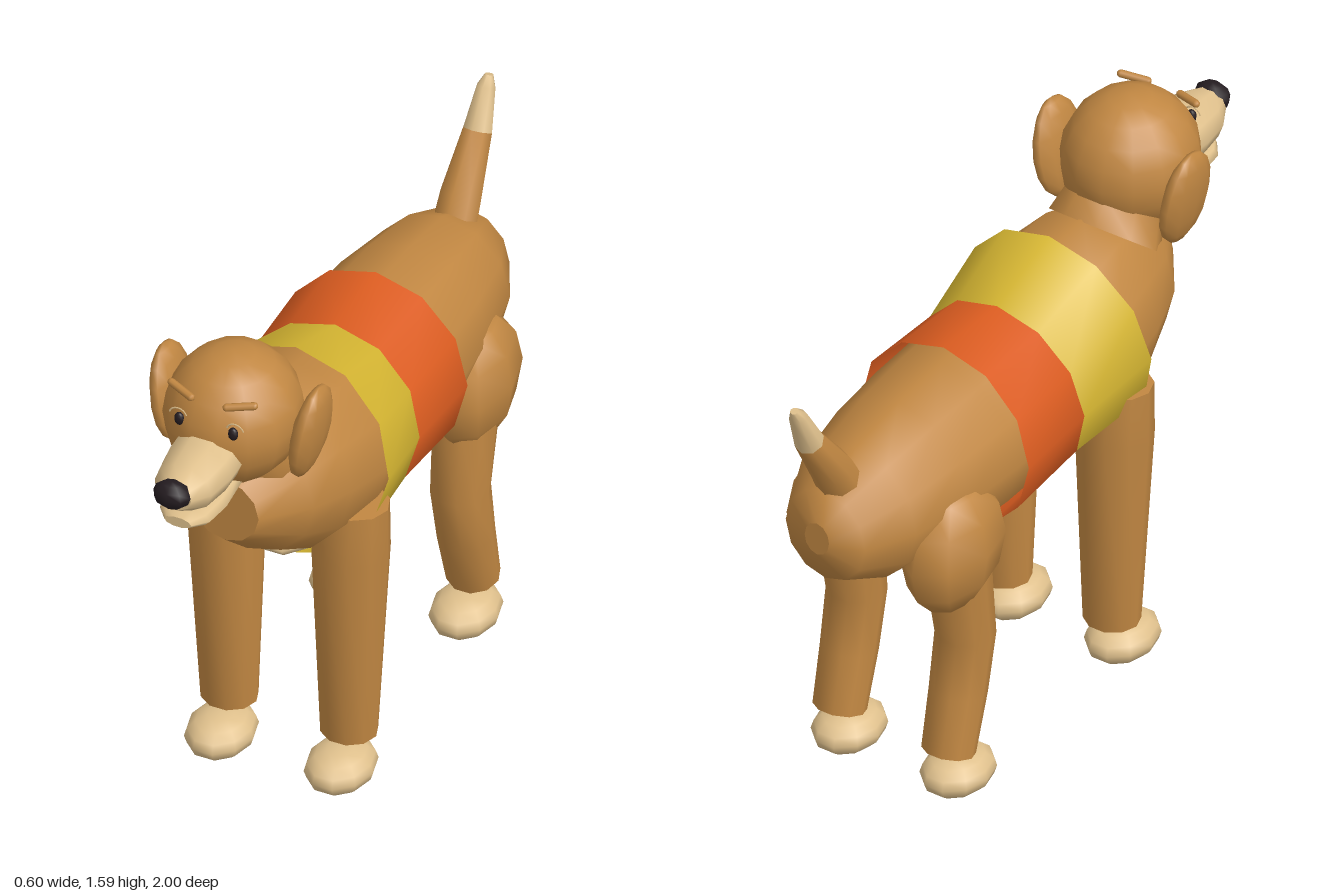
import * as THREE from 'three';

const mat = (name, color, extra = {}) => {
  const m = new THREE.MeshStandardMaterial({ color, ...extra });
  m.name = name;
  return m;
};

// Skin over elliptical rings [x, y, z, rx, vy, vz]: point = centre + rx cos(a) X + sin(a) (0, vy, vz).
// Rings run in the direction X cross (0, vy, vz).
function loft(rings, n, capped = true) {
  const pos = [], idx = [];
  const addRing = ([x, y, z, rx, vy, vz]) => {
    for (let j = 0; j < n; j++) {
      const a = (j / n) * Math.PI * 2, s = Math.sin(a);
      pos.push(x + rx * Math.cos(a), y + vy * s, z + vz * s);
    }
  };
  rings.forEach(addRing);
  for (let i = 0; i < rings.length - 1; i++) {
    for (let j = 0; j < n; j++) {
      const a = i * n + j, b = i * n + ((j + 1) % n);
      idx.push(a, b, a + n, b, b + n, a + n);
    }
  }
  if (capped) {
    [rings[0], rings[rings.length - 1]].forEach((r, end) => {
      const base = pos.length / 3;
      addRing(r);
      pos.push(r[0], r[1], r[2]);
      for (let j = 0; j < n; j++) {
        const a = base + j, b = base + ((j + 1) % n);
        idx.push(base + n, end ? a : b, end ? b : a);
      }
    });
  }
  const g = new THREE.BufferGeometry();
  g.setAttribute('position', new THREE.Float32BufferAttribute(pos, 3));
  g.setIndex(idx);
  g.computeVertexNormals();
  return g;
}

export function createModel() {
  const dog = new THREE.Group();
  dog.name = 'dog';
  const fur = mat('brown fur', 0xc18742);
  const cream = mat('cream fur', 0xdfc08c);
  const dark = mat('black', 0x241c20);
  const yellow = mat('yellow cloth', 0xd6b632, { side: THREE.DoubleSide });
  const orange = mat('orange cloth', 0xdb5c20, { side: THREE.DoubleSide });

  const add = (name, geo, material) => {
    const m = new THREE.Mesh(geo, material);
    m.name = name;
    dog.add(m);
    return m;
  };
  const ball = (name, material, p, r, ws = 10, hs = 8) => {
    const m = add(name, new THREE.SphereGeometry(1, ws, hs), material);
    m.position.set(...p);
    m.scale.set(...r);
    return m;
  };

  // Body, rump to chest
  add('body', loft([
    [0, 0.98, -0.88, 0.04, 0.05, 0],
    [0, 0.97, -0.84, 0.13, 0.14, 0],
    [0, 0.97, -0.7, 0.2, 0.205, 0],
    [0, 0.975, -0.5, 0.235, 0.235, 0],
    [0, 0.98, -0.3, 0.25, 0.245, 0],
    [0, 0.99, -0.05, 0.25, 0.25, 0],
    [0, 1.028, 0.2, 0.27, 0.272, 0],
    [0, 1.055, 0.36, 0.245, 0.265, 0],
    [0, 1.08, 0.5, 0.2, 0.2, 0],
    [0, 1.1, 0.635, 0.1, 0.1, 0],
  ], 12), fur);
  ball('belly', cream, [0, 0.79, 0.16], [0.13, 0.058, 0.22]);

  // Shirt: open two-colour tube
  const hem = [0, 0.98, -0.285, 0.275, 0.287, -0.005];
  const seam = [0, 0.99, -0.012, 0.265, 0.27, -0.03];
  const collar = [0, 1.04, 0.25, 0.3, 0.31, -0.05];
  add('shirtBack', loft([hem, seam], 12, false), orange);
  add('shirtFront', loft([seam, collar], 12, false), yellow);

  // Neck and head
  add('neck', loft([
    [0, 1.22, 0.46, 0.165, 0.1, -0.12],
    [0, 1.29, 0.51, 0.14, 0.085, -0.11],
  ], 10), fur);
  ball('head', fur, [0, 1.4, 0.58], [0.19, 0.198, 0.2], 14, 10);
  add('muzzle', loft([
    [0, 1.36, 0.66, 0.1, 0.08, 0],
    [0, 1.352, 0.8, 0.1, 0.08, 0],
    [0, 1.35, 0.89, 0.085, 0.072, 0],
    [0, 1.36, 0.95, 0.052, 0.045, 0],
  ], 10), cream);
  add('jaw', loft([
    [0, 1.255, 0.68, 0.075, 0.028, 0],
    [0, 1.253, 0.8, 0.085, 0.028, 0],
    [0, 1.253, 0.88, 0.075, 0.026, 0],
    [0, 1.257, 0.925, 0.04, 0.016, 0],
  ], 10), cream);
  ball('nose', dark, [0, 1.375, 0.96], [0.055, 0.042, 0.04], 8, 6);

  // Tail with pale tip
  add('tail', loft([
    [0, 1.06, -0.75, 0.065, -0.035, -0.055],
    [0, 1.17, -0.81, 0.06, -0.033, -0.05],
    [0, 1.32, -0.915, 0.042, -0.02, -0.036],
  ], 8), fur);
  add('tailTip', loft([
    [0, 1.32, -0.915, 0.042, -0.02, -0.036],
    [0, 1.43, -0.967, 0.027, -0.01, -0.022],
    [0, 1.458, -0.985, 0.012, -0.004, -0.011],
  ], 8), cream);

  // Paired parts
  for (const [s, side] of [[1, 'left'], [-1, 'right']]) {
    const x = s * 0.178;
    add(side + 'FrontLeg', loft([
      [s * 0.195, 0.93, 0.245, 0.1, 0, 0.09],
      [s * 0.185, 0.77, 0.243, 0.11, 0, 0.102],
      [x, 0.155, 0.24, 0.08, 0, 0.076],
    ], 10), fur);
    ball(side + 'Thigh', fur, [s * 0.185, 0.825, -0.51], [0.113, 0.195, 0.19], 8, 6);
    add(side + 'RearLeg', loft([
      [x, 0.72, -0.475, 0.09, 0.01, 0.092],
      [x, 0.5, -0.442, 0.083, -0.005, 0.083],
      [x, 0.33, -0.475, 0.08, -0.014, 0.078],
      [x, 0.157, -0.52, 0.075, -0.016, 0.07],
    ], 10), fur);
    ball(side + 'FrontPaw', cream, [x, 0.07, 0.29], [0.095, 0.062, 0.122], 10, 8);
    ball(side + 'RearPaw', cream, [x, 0.07, -0.475], [0.095, 0.062, 0.122], 10, 8);

    const ear = ball(side + 'Ear', fur, [s * 0.207, 1.37, 0.537], [0.04, 0.15, 0.103], 10, 8);
    ear.rotation.z = -s * 0.16;

    ball(side + 'Eye', dark, [s * 0.08, 1.46, 0.75], [0.015, 0.02, 0.012], 8, 6);
    const lid = add(side + 'Eyelid', new THREE.TorusGeometry(0.026, 0.0025, 4, 8, Math.PI * 0.8), cream);
    lid.position.set(s * 0.085, 1.466, 0.748);
    lid.rotation.z = Math.PI * 0.1;
    const brow = add(side + 'Eyebrow', new THREE.CapsuleGeometry(0.011, 0.075, 3, 8), fur);
    brow.position.set(s * 0.088, 1.535, 0.722);
    brow.rotation.set(0, s * 0.35, Math.PI / 2 + s * 0.14, 'YXZ');
  }
  return dog;
}
